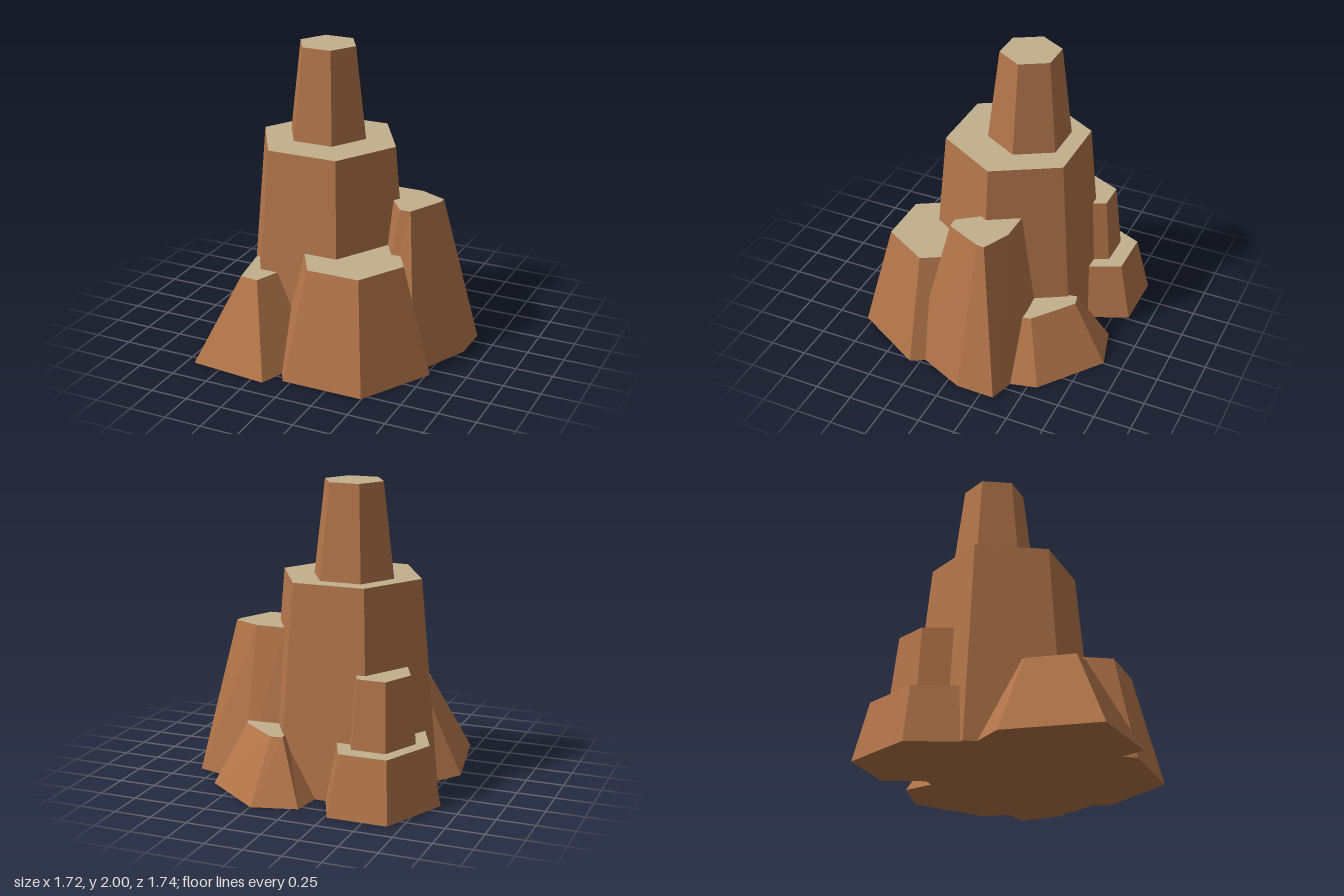
import * as THREE from 'three';

// Hexagon outline as [x, z] pairs, clockwise seen from above
function hexagon(cx, cz, rx, rz = rx) {
  return Array.from({ length: 6 }, (_, i) => {
    const a = (i * Math.PI) / 3;
    return [cx + rx * Math.cos(a), cz + rz * Math.sin(a)];
  });
}

// Faceted block lofted from a lower outline to an upper one; group 0 = sides and base, group 1 = flat top
function blockGeometry(lower, upper, y0, y1) {
  const pos = [];
  const n = lower.length;
  const low = (i) => [lower[i % n][0], y0, lower[i % n][1]];
  const up = (i) => [upper[i % n][0], y1, upper[i % n][1]];
  const tri = (a, b, c) => pos.push(...a, ...b, ...c);
  for (let i = 0; i < n; i++) {
    tri(low(i + 1), low(i), up(i));
    tri(low(i + 1), up(i), up(i + 1));
  }
  for (let i = 1; i < n - 1; i++) tri(low(0), low(i), low(i + 1));
  const sideCount = pos.length / 3;
  for (let i = 1; i < n - 1; i++) tri(up(0), up(i + 1), up(i));

  const geo = new THREE.BufferGeometry();
  geo.setAttribute('position', new THREE.Float32BufferAttribute(pos, 3));
  geo.addGroup(0, sideCount, 0);
  geo.addGroup(sideCount, pos.length / 3 - sideCount, 1);
  geo.computeVertexNormals();
  return geo;
}

export function createModel() {
  const rock = new THREE.MeshStandardMaterial({ color: 0xb3754a });
  rock.name = 'brown rock';
  const ledge = new THREE.MeshStandardMaterial({ color: 0xc2b08d });
  ledge.name = 'pale sand ledge';

  const model = new THREE.Group();
  model.name = 'rockFormation';
  const add = (name, lower, upper, y0, y1) => {
    const mesh = new THREE.Mesh(blockGeometry(lower, upper, y0, y1), [rock, ledge]);
    mesh.name = name;
    model.add(mesh);
  };

  // Central tower and the spire on it
  add('mainTower', hexagon(-0.13, -0.07, 0.605), hexagon(-0.128, -0.07, 0.478), 0, 1.38);
  add('spire', hexagon(-0.165, -0.132, 0.275), hexagon(-0.165, -0.132, 0.2), 1.38, 2);

  // Two-tier butte at the back
  add('steppedButteBase', hexagon(-0.466, -0.405, 0.396, 0.52), hexagon(-0.466, -0.405, 0.317, 0.416), 0, 0.39);
  add('steppedButteTop', hexagon(-0.465, -0.405, 0.226, 0.292), hexagon(-0.465, -0.405, 0.187, 0.239), 0.39, 0.835);

  // Broad block at the front
  add('frontBlock', hexagon(0.221, 0.316, 0.55), hexagon(0.222, 0.316, 0.355), 0, 0.73);

  // Tall irregular crag at the side
  add('sideCrag',
    [[0.2, -0.42], [0.5, -0.447], [0.861, -0.339], [0.857, -0.08], [0.667, 0.34], [0.354, 0.324], [0.1, -0.1]],
    [[0.26, -0.27], [0.469, -0.266], [0.649, -0.182], [0.645, -0.13], [0.533, 0.11], [0.46, 0.113], [0.25, -0.17]],
    0, 1.025);

  // Low crag at the back
  add('backCrag',
    [[-0.048, -0.792], [0.247, -0.87], [0.653, -0.561], [0.72, -0.29], [0.2, -0.2], [-0.1, -0.48]],
    [[0.13, -0.62], [0.206, -0.635], [0.469, -0.432], [0.503, -0.3], [0.2, -0.3], [0.15, -0.5]],
    0, 0.4);

  // Sloping crag at the front
  add('frontCrag',
    [[-0.6, -0.13], [-0.3, 0], [-0.02, 0.49], [-0.164, 0.866], [-0.695, 0.815], [-0.815, 0.187]],
    [[-0.45, 0.12], [-0.3, 0.1], [-0.25, 0.33], [-0.344, 0.575], [-0.469, 0.561], [-0.528, 0.238]],
    0, 0.565);

  return model;
}
